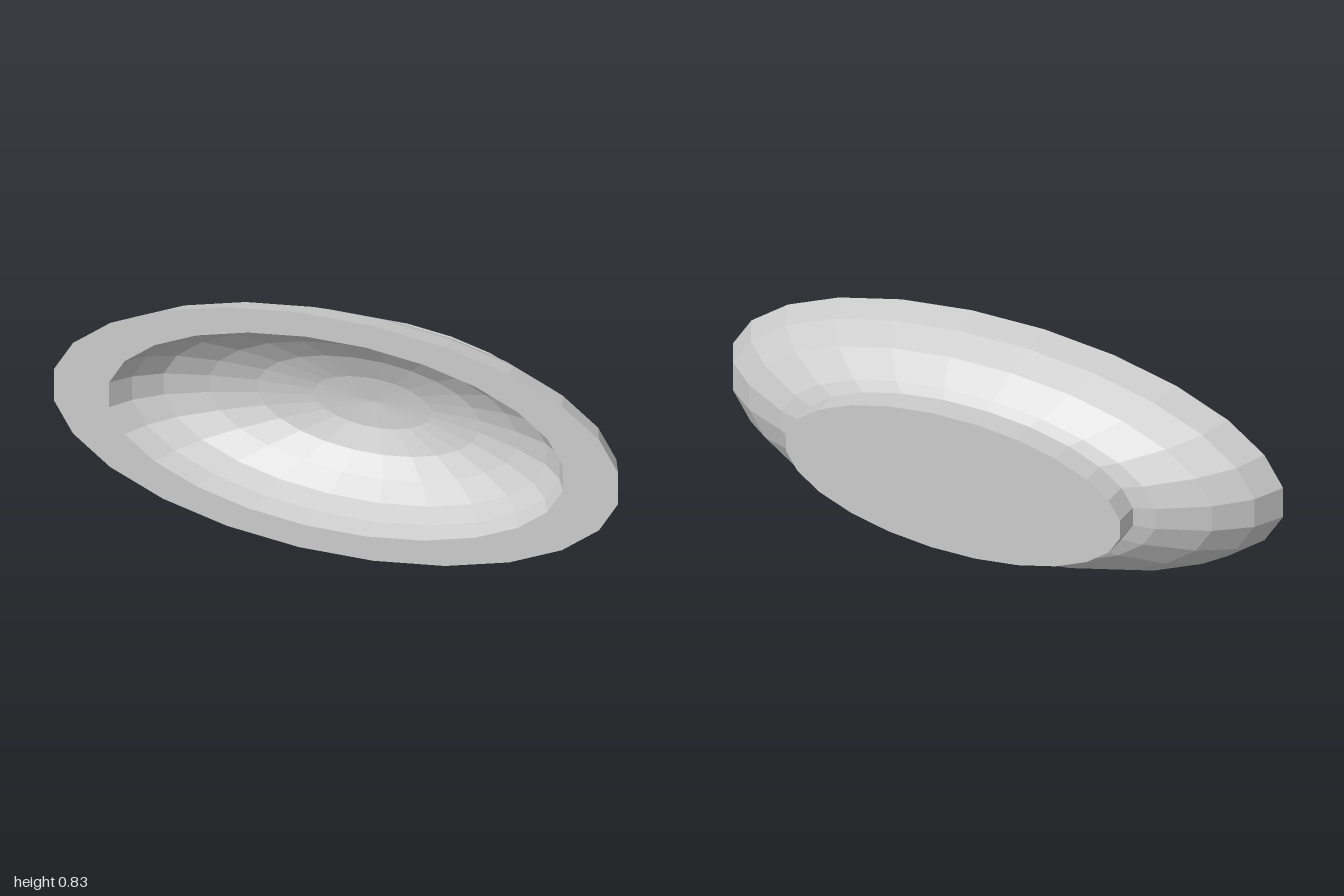
import * as THREE from 'three';

const SIDES = 24;
const STEP = Math.PI * 2 / SIDES;
const HALF_HEIGHT = 0.4175;
// vertices sit half a step off the axes, so the radius is stretched to keep the flats at full size
const STRETCH = 1 / Math.cos(STEP / 2);

// Faceted oval solid around the z axis, from [radius, z] profile points
function ovalLathe(name, profile, material) {
  const points = profile.map(([r, z]) => new THREE.Vector2(r * STRETCH, z));
  const geometry = new THREE.LatheGeometry(points, SIDES, STEP / 2);
  geometry.rotateX(Math.PI / 2);
  geometry.scale(1, HALF_HEIGHT, 1);
  geometry.translate(0, HALF_HEIGHT, 0);
  const mesh = new THREE.Mesh(geometry, material);
  mesh.name = name;
  return mesh;
}

export function createModel() {
  const group = new THREE.Group();
  group.name = 'ovalBowl';
  const material = new THREE.MeshStandardMaterial({ color: 0xcccccc, flatShading: true });

  const front = 0.196, seam = -0.105, back = -0.196;

  // Outer wall from the foot to the rim
  const outer = [[0.607, seam], [0.68, -0.084], [0.841, 0], [0.948, 0.094], [1, front]];
  // Hollow from the rim's inner edge down to the centre
  const innerRadii = [0.804, 0.757, 0.677, 0.545, 0.393, 0.206, 0];
  const inner = innerRadii.map((r, i) => [r, front - 0.3 * Math.sin(i * Math.PI / 12)]);
  group.add(ovalLathe('bowl', [...outer, ...inner], material));

  // Flat foot at the back
  group.add(ovalLathe('foot', [[0, back], [0.607, back], [0.607, seam]], material));

  return group;
}
